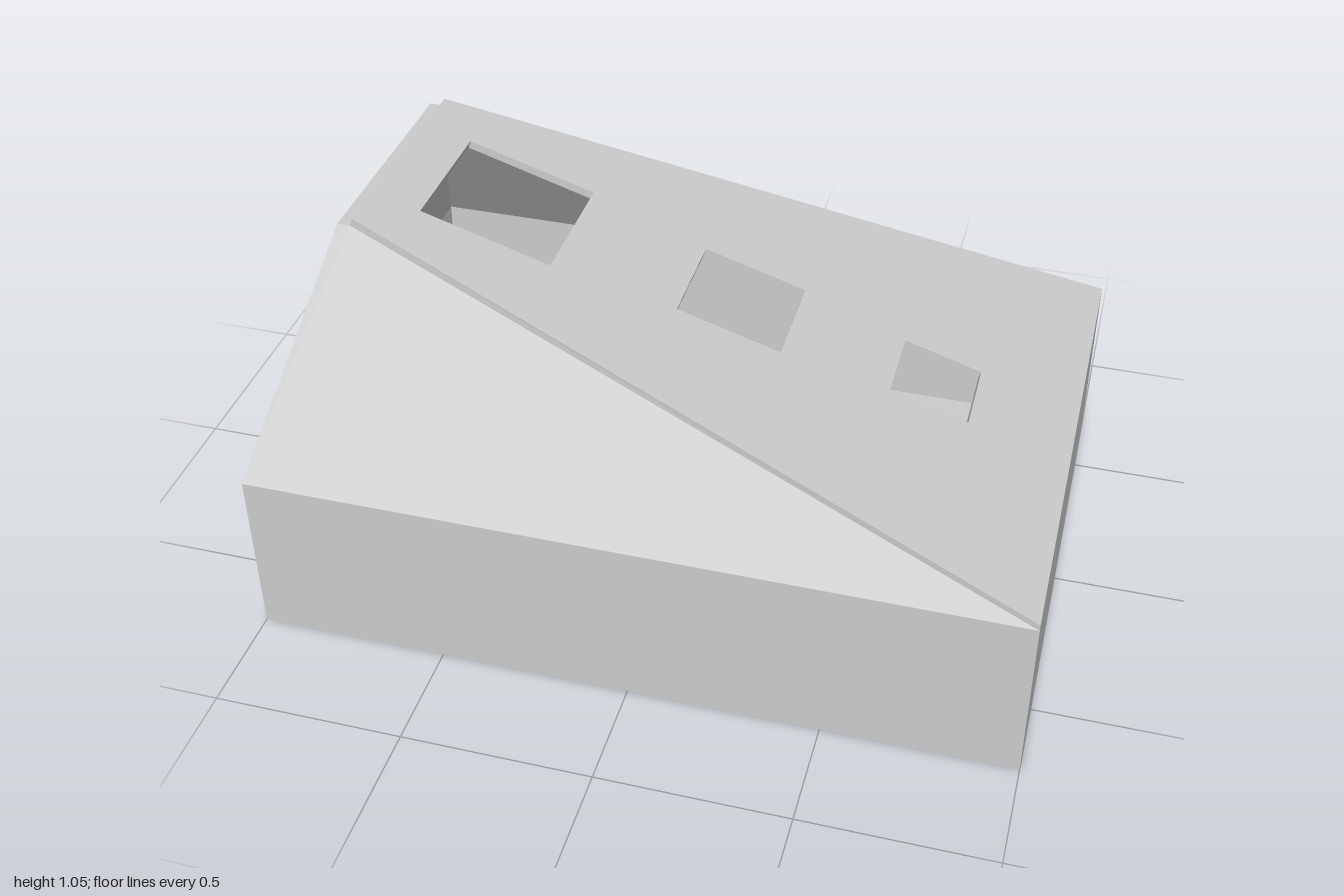
import * as THREE from 'three';

const material = new THREE.MeshStandardMaterial({ color: 0xcccccc, flatShading: true });

// Slope of the cover plate
const START = { x: -0.803, y: 1.05 }, END_Y = 0.487, THICK = 0.022, WALL = 0.03;
const HALF_X = 1, HALF_Z = 0.705, RIDGE_Z = 0.315;
const slope = (START.y - END_Y) / (HALF_X - START.x);
const angle = Math.atan(slope);

function addMesh(parent, name, geometry, mat = material) {
  const mesh = new THREE.Mesh(geometry, mat);
  mesh.name = name;
  parent.add(mesh);
  return mesh;
}

// Flat-faced geometry from convex polygons
function polygons(list) {
  const pos = [];
  for (const p of list) {
    for (let i = 1; i < p.length - 1; i++) pos.push(...p[0], ...p[i], ...p[i + 1]);
  }
  const g = new THREE.BufferGeometry();
  g.setAttribute('position', new THREE.Float32BufferAttribute(pos, 3));
  g.computeVertexNormals();
  return g;
}

// Box walls with a hipped, sloping upper half, open at the top and bottom
function shell({ x, z, y0, mid, endY, ridgeY, ridgeZ, ridgeX, inward }) {
  const mirror = (p) => p.map(([a, b, c]) => [a, b, -c]).reverse();
  const [r0, r1] = ridgeX;
  const side = [[-x, y0, z], [x, y0, z], [x, mid, z], [-x, mid, z]];
  const sideSlope = [[-x, mid, z], [x, mid, z], [r1, ridgeY, ridgeZ], [r0, ridgeY, ridgeZ]];
  const list = [
    side, mirror(side), sideSlope, mirror(sideSlope),
    [[-x, y0, -z], [-x, y0, z], [-x, mid, z], [-x, mid, -z]],
    [[-x, mid, -z], [-x, mid, z], [r0, ridgeY, ridgeZ], [r0, ridgeY, -ridgeZ]],
    [[x, y0, z], [x, y0, -z], [x, endY, -z], [x, endY, z]],
  ];
  // Narrow flat ledge beside the plate
  if (!inward) {
    list.push([[r0, ridgeY, ridgeZ], [r1, ridgeY, ridgeZ], [r1, ridgeY, -ridgeZ], [r0, ridgeY, -ridgeZ]]);
  }
  return polygons(inward ? list.map((p) => [...p].reverse()) : list);
}

function rectangle(Type, x0, x1, z) {
  return new Type([[x0, -z], [x1, -z], [x1, z], [x0, z]].map(([a, b]) => new THREE.Vector2(a, b)));
}

// Sloping trapezoid plate with three square-cut windows
function coverPlate() {
  const u = (x) => (x - START.x) / Math.cos(angle);
  const end = u(HALF_X);
  const shape = new THREE.Shape([
    new THREE.Vector2(0, -RIDGE_Z), new THREE.Vector2(end, -HALF_Z),
    new THREE.Vector2(end, HALF_Z), new THREE.Vector2(0, RIDGE_Z),
  ]);
  for (const [x0, x1, z] of [[-0.68, -0.34, 0.18], [-0.02, 0.25, 0.143], [0.53, 0.735, 0.11]]) {
    shape.holes.push(rectangle(THREE.Path, u(x0), u(x1), z));
  }
  const g = new THREE.ExtrudeGeometry(shape, { depth: THICK, bevelEnabled: false });
  g.rotateX(-Math.PI / 2).rotateZ(-angle);
  g.translate(START.x - THICK * Math.sin(angle), START.y - THICK * Math.cos(angle), 0);
  // Trim the low end upright
  const p = g.attributes.position;
  for (let i = 0; i < p.count; i++) {
    const x = p.getX(i);
    if (x > 0.98) p.setXY(i, HALF_X, p.getY(i) - (HALF_X - x) * slope);
  }
  g.computeVertexNormals();
  return g;
}

export function createModel() {
  const model = new THREE.Group();
  model.name = 'slopedEnclosure';

  const ridgeY = START.y - THICK * Math.cos(angle);
  const under = (x) => START.y - slope * (x - START.x) - THICK / Math.cos(angle);

  addMesh(model, 'outerWalls', shell({
    x: HALF_X, z: HALF_Z, y0: 0, mid: 0.47, endY: under(HALF_X),
    ridgeY, ridgeZ: RIDGE_Z, ridgeX: [-0.845, START.x - THICK * Math.sin(angle)],
  }));

  // Hollow inside, parallel to the outer walls
  const inX = HALF_X - WALL, inZ = HALF_Z - WALL;
  addMesh(model, 'innerWalls', shell({
    x: inX, z: inZ, y0: WALL, mid: 0.46, endY: under(inX),
    ridgeY: under(-0.805), ridgeZ: 0.28, ridgeX: [-0.805, -0.805], inward: true,
  }));

  addMesh(model, 'coverPlate', coverPlate());

  // Floor with a round cable hole near the back of the tall end
  const hole = { x: -0.706, z: -0.47, r: 0.105 };
  const floor = (x, z, flip) => {
    const s = rectangle(THREE.Shape, -x, x, z);
    s.holes.push(new THREE.Path().absarc(hole.x, flip * hole.z, hole.r, 0, Math.PI * 2, true));
    return new THREE.ShapeGeometry(s, 24).rotateX(flip * Math.PI / 2);
  };
  addMesh(model, 'floorUnderside', floor(HALF_X, HALF_Z, 1));
  addMesh(model, 'floorInside', floor(inX, inZ, -1)).position.y = WALL;

  const rimMaterial = new THREE.MeshStandardMaterial({ color: 0xcccccc, side: THREE.BackSide });
  const rim = new THREE.CylinderGeometry(hole.r, hole.r, WALL, 48, 1, true);
  addMesh(model, 'cableHoleRim', rim, rimMaterial).position.set(hole.x, WALL / 2, hole.z);

  return model;
}
